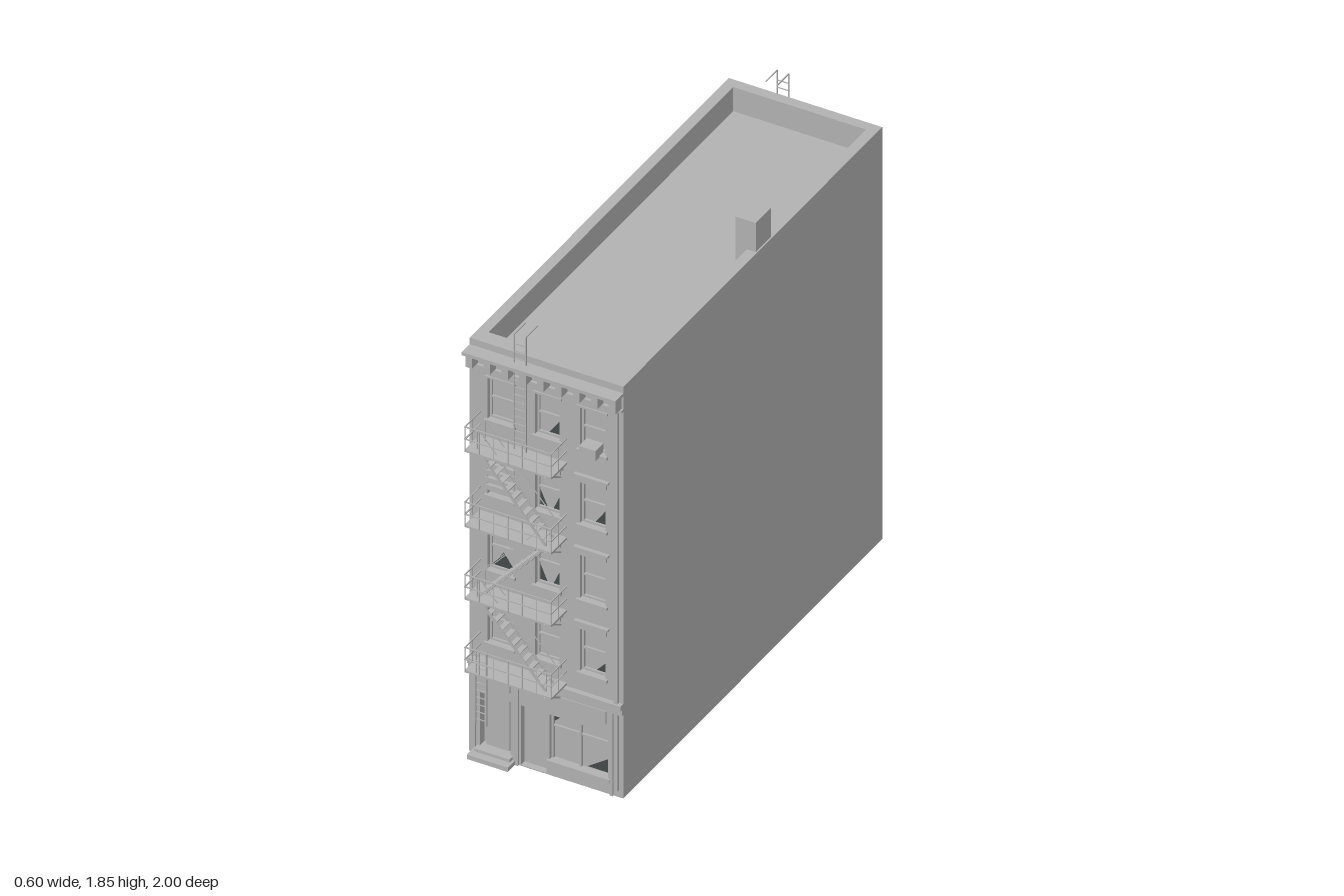
import * as THREE from 'three';
import { mergeGeometries } from 'three/addons/utils/BufferGeometryUtils.js';

export function createModel() {
  const root = new THREE.Group();
  root.name = 'apartmentBuilding';
  const grey = new THREE.MeshStandardMaterial({ color: 0xb2b2b2 });
  grey.name = 'stoneGrey';
  const dark = new THREE.MeshStandardMaterial({ color: 0x444949 });
  dark.name = 'darkInterior';

  // Geometry is gathered by part name and merged at the end
  const parts = {};
  const add = (name, g, mat = grey) => {
    (parts[name] ??= { mat, list: [] }).list.push(g.index ? g.toNonIndexed() : g);
  };
  // Box from its minimum and maximum on each axis
  const box = (name, x0, x1, y0, y1, z0, z1) => {
    const g = new THREE.BoxGeometry(x1 - x0, y1 - y0, Math.abs(z1 - z0));
    add(name, g.translate((x0 + x1) / 2, (y0 + y1) / 2, (z0 + z1) / 2));
  };
  // Square bar between two points
  const bar = (name, a, b, t = 0.004) => {
    const p = new THREE.Vector3(...a), q = new THREE.Vector3(...b);
    const o = new THREE.Object3D();
    o.position.copy(p).add(q).multiplyScalar(0.5);
    o.lookAt(q);
    o.updateMatrix();
    add(name, new THREE.BoxGeometry(t, t, p.distanceTo(q)).applyMatrix4(o.matrix));
  };
  const polygon = (pts) => new THREE.Shape(pts.map((p) => new THREE.Vector2(...p)));
  const rect = ([x0, x1, y0, y1]) => [[x0, y0], [x1, y0], [x1, y1], [x0, y1]];
  // Flat wall with rectangular openings
  const wall = (name, z, openings) => {
    const s = polygon(rect([-0.3, 0.3, 0.03, 1.73]));
    for (const o of openings) s.holes.push(polygon(rect(o)));
    add(name, new THREE.ExtrudeGeometry(s, { depth: 0.03, bevelEnabled: false }).translate(0, 0, z));
  };
  // Broken pane showing the dark inside; s = 1 front, -1 back
  const shard = (s, ...pts) => {
    const g = new THREE.ExtrudeGeometry(polygon(pts), { depth: 0.002, bevelEnabled: false });
    add('brokenPanes', g.translate(0, 0, s > 0 ? 0.8665 : -0.8785), dark);
  };
  // Sash window; f is the wall face
  const sash = (s, [x0, x1, y0, y1]) => {
    const f = s > 0 ? 0.89 : -0.9, n = s > 0 ? 'frontSashes' : 'backSashes', t = 0.008;
    const a = f - s * 0.027, b = f - s * 0.016, m = (y0 + y1) / 2;
    box('windowPanes', x0, x1, y0, y1, a, a + s * 0.003);
    box(n, x0, x0 + t, y0, y1, a, b);
    box(n, x1 - t, x1, y0, y1, a, b);
    box(n, x0 + t, x1 - t, y1 - t, y1, a, b);
    box(n, x0 + t, x1 - t, y0, y0 + t, a, b);
    box(n, x0 + t, x1 - t, m - t / 2, m + t / 2, a, b);
  };

  // Main mass, plinth, roof parapet and chimney
  box('body', -0.3, 0.3, 0.03, 1.63, -0.87, 0.86);
  box('plinth', -0.26, 0.26, 0, 0.03, -0.86, 0.85);
  for (const x of [-0.3, 0.26]) box('parapet', x, x + 0.04, 1.63, 1.73, -0.87, 0.86);
  box('parapet', -0.26, 0.26, 1.63, 1.73, 0.83, 0.86);
  box('parapet', -0.26, 0.26, 1.63, 1.73, -0.87, -0.86);
  box('chimney', 0.215, 0.295, 1.63, 1.85, -0.14, -0.035);

  // Front openings: three windows on each of four floors, plus the shop
  const columns = [[-0.23, -0.13], [-0.045, 0.05], [0.13, 0.23]];
  const floors = [[0.5, 0.68], [0.8, 0.985], [1.11, 1.285], [1.42, 1.59]];
  const frontWindows = floors.flatMap(([y0, y1]) => columns.map(([x0, x1]) => [x0, x1, y0, y1]));
  const houseDoor = [-0.26, -0.14, 0.06, 0.28];
  const shopDoor = [-0.1, 0.0, 0.034, 0.28];
  const shopWindow = [0.012, 0.24, 0.095, 0.28];
  wall('frontWall', 0.86, [...frontWindows, houseDoor, shopDoor, shopWindow]);
  for (const w of frontWindows) {
    sash(1, w);
    const [x0, x1, y0, y1] = w;
    box('windowSills', x0 - 0.01, x1 + 0.01, y0 - 0.012, y0, 0.88, 0.9);
    if (y1 > 1.5) {
      box('lintels', x0 - 0.01, x1 + 0.01, y1, y1 + 0.008, 0.88, 0.895);
    } else {
      box('lintels', x0 - 0.007, x1 + 0.007, y1, y1 + 0.025, 0.88, 0.898);
      box('lintels', x0 - 0.017, x1 + 0.017, y1 + 0.025, y1 + 0.033, 0.88, 0.905);
    }
  }
  // Boards over one window and an air conditioner in another
  for (let i = 0; i < 5; i++) {
    const y = 1.13 + i * 0.03;
    box('windowBoards', -0.235, -0.125, y, y + 0.02, 0.88, 0.895);
  }
  box('airConditioner', 0.147, 0.212, 1.415, 1.455, 0.87, 0.925);

  // Broken glass
  shard(1, [0.18, 1.12], [0.222, 1.12], [0.222, 1.18]);
  shard(1, [0.185, 0.51], [0.222, 0.51], [0.222, 0.55]);
  shard(1, [0.0, 1.43], [0.042, 1.43], [0.042, 1.49]);
  for (const y of [0.81, 1.12]) {
    shard(1, [-0.036, y], [-0.01, y], [-0.036, y + 0.06]);
    shard(1, [0.016, y], [0.042, y], [0.042, y + 0.06]);
  }
  shard(1, [-0.222, 0.81], [-0.138, 0.81], [-0.18, 0.87]);
  shard(1, [-0.222, 0.67], [-0.222, 0.62], [-0.195, 0.67]);
  shard(1, [0.15, 0.1], [0.236, 0.1], [0.236, 0.16]);
  shard(1, [0.016, 0.276], [0.016, 0.24], [0.055, 0.276]);

  // Shop front
  box('shopGlass', 0.012, 0.24, 0.095, 0.28, 0.86, 0.866);
  for (const x of [0.012, 0.121, 0.232]) box('shopMullions', x, x + 0.008, 0.095, 0.28, 0.86, 0.876);
  box('shopMullions', 0.012, 0.24, 0.225, 0.231, 0.86, 0.874);
  box('shopSill', 0.005, 0.25, 0.083, 0.095, 0.88, 0.9);
  box('shopDoor', -0.1, 0.0, 0.034, 0.28, 0.86, 0.865);
  box('houseDoor', -0.245, -0.155, 0.06, 0.27, 0.86, 0.872);
  box('doorstep', -0.28, -0.12, 0.03, 0.048, 0.88, 0.945);
  box('doorstep', -0.27, -0.13, 0.048, 0.06, 0.88, 0.915);
  box('signPanel', -0.09, 0.235, 0.318, 0.37, 0.88, 0.897);
  box('transomPanel', -0.26, -0.14, 0.318, 0.37, 0.88, 0.897);
  for (const [x0, x1] of [[-0.298, -0.275], [-0.128, -0.108], [0.25, 0.262]])
    box('shopPilasters', x0, x1, 0.03, 0.38, 0.88, 0.897);
  box('shopCornice', -0.3, 0.3, 0.375, 0.4, 0.88, 0.9);
  box('shopCornice', -0.3, 0.3, 0.4, 0.42, 0.88, 0.91);

  // Roof cornice with brackets, and the drainpipe
  box('roofCornice', -0.3, 0.3, 1.69, 1.703, 0.88, 0.945);
  box('roofCornice', -0.3, 0.3, 1.625, 1.637, 0.88, 0.902);
  for (let i = 0; i < 9; i++) {
    const x = -0.28 + i * 0.07;
    box('corniceBrackets', x - 0.013, x + 0.013, 1.637, 1.69, 0.88, 0.932);
  }
  box('drainpipe', 0.27, 0.284, 0.06, 1.66, 0.885, 0.903);
  box('drainpipe', 0.262, 0.292, 1.64, 1.675, 0.885, 0.915);

  // Back wall: five rows of windows and a door
  const backWindows = [0.15, 0.48, 0.79, 1.11, 1.42].flatMap((y) =>
    [[-0.24, -0.14], [-0.055, 0.045], [0.125, 0.225]].map(([a, b]) => [a, b, y, y + 0.17]))
    .filter(([x, , y]) => !(x < -0.2 && y < 0.2));
  const backDoor = [-0.255, -0.16, 0.034, 0.245];
  wall('backWall', -0.9, [...backWindows, backDoor]);
  for (const w of backWindows) {
    sash(-1, w);
    box('backSills', w[0] - 0.005, w[1] + 0.005, w[2] - 0.008, w[2], -0.905, -0.89);
  }
  box('backDoor', -0.255, -0.16, 0.034, 0.245, -0.885, -0.87);
  shard(-1, [0.217, 1.43], [0.217, 1.55], [0.16, 1.43]);
  shard(-1, [-0.045, 1.43], [0.036, 1.43], [-0.045, 1.49]);
  shard(-1, [-0.045, 1.12], [0.02, 1.12], [-0.045, 1.19]);
  shard(-1, [-0.045, 0.8], [0.036, 0.8], [0.036, 0.86]);

  // Ladder with side rails and rungs
  const ladder = (n, x0, x1, y0, y1, z) => {
    for (const x of [x0, x1]) bar(n, [x, y0, z], [x, y1, z]);
    for (let y = y0 + 0.02; y < y1 - 0.01; y += 0.03) bar(n, [x0, y, z], [x1, y, z], 0.003);
  };

  // Fire escapes on the front and the back
  const levels = [0.43, 0.73, 1.03, 1.34];
  for (const s of [1, -1]) {
    const n = s > 0 ? 'front' : 'back';
    const wz = s > 0 ? 0.89 : -0.9, oz = s * 0.997;
    const P = n + 'Platforms', R = n + 'Railings', S = n + 'Stairs';
    levels.forEach((y, i) => {
      box(P, -0.26, 0.08, y - 0.004, y + 0.004, wz, oz);
      for (const x of [-0.24, 0.055]) bar(n + 'Braces', [x, y, oz], [x, y - 0.065, wz], 0.006);
      for (const h of [0.05, 0.1]) {
        bar(R, [-0.26, y + h, oz], [0.08, y + h, oz]);
        for (const x of [-0.258, 0.078]) bar(R, [x, y + h, wz], [x, y + h, oz]);
      }
      for (let k = 0; k <= 6; k++) {
        const x = -0.258 + k * 0.056;
        bar(R, [x, y, oz], [x, y + 0.1, oz], 0.003);
      }
      for (const x of [-0.258, 0.078]) bar(R, [x, y, s * 0.945], [x, y + 0.1, s * 0.945], 0.003);
      // Flight down to the platform below
      if (i === 0) return;
      const low = levels[i - 1];
      const [xt, xb] = i === 2 ? [0.045, -0.225] : [-0.225, 0.045];
      for (const z of [0.917, 0.97]) {
        bar(S, [xt, y, s * z], [xb, low, s * z], 0.007);
        bar(S, [xt, y + 0.09, s * z], [xb, low + 0.09, s * z], 0.003);
        for (const [x, b] of [[xt, y], [xb, low]]) bar(S, [x, b, s * z], [x, b + 0.09, s * z], 0.003);
      }
      for (let k = 1; k < 12; k++) {
        const x = xt + ((xb - xt) * k) / 12, ty = y + ((low - y) * k) / 12;
        box(S, x - 0.01, x + 0.01, ty - 0.0015, ty + 0.0015, s * 0.917, s * 0.97);
      }
    });
    // Roof ladder with hooked top
    const lz = s * 0.908, L = n + 'RoofLadder';
    ladder(L, -0.115, -0.07, 1.34, 1.82, lz);
    for (const x of [-0.115, -0.07]) bar(L, [x, 1.82, lz], [x, 1.82, s * 0.83]);
  }
  ladder('dropLadder', -0.218, -0.178, 0.225, 0.53, 0.99);

  for (const [name, { mat, list }] of Object.entries(parts)) {
    const mesh = new THREE.Mesh(mergeGeometries(list), mat);
    mesh.name = name;
    root.add(mesh);
  }
  return root;
}
